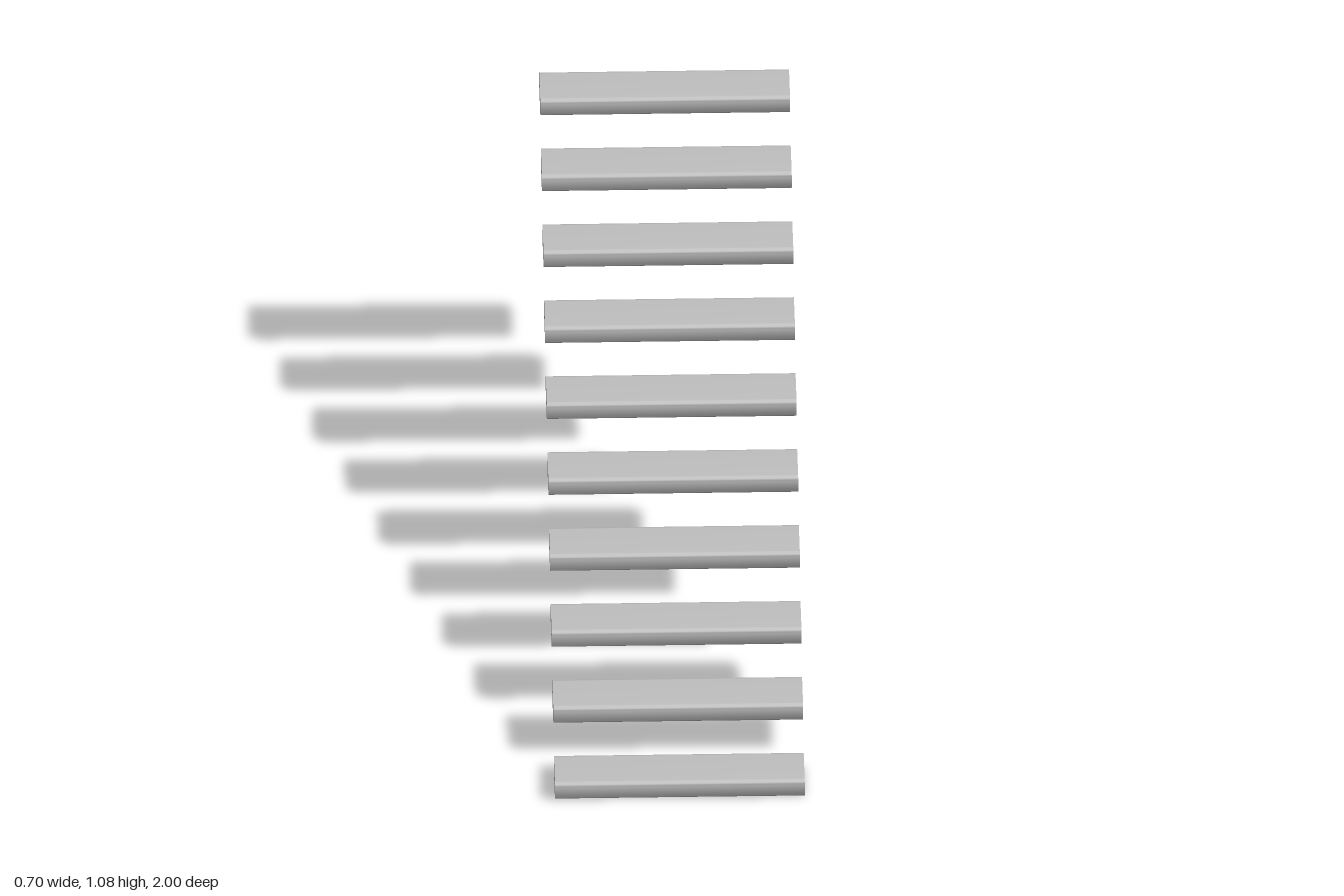
import * as THREE from 'three';
import { toCreasedNormals } from 'three/addons/utils/BufferGeometryUtils.js';

const COUNT = 10;
const WIDTH = 0.696, DEPTH = 0.147, HEIGHT = 0.055, RADIUS = 0.014;
const RISE = 0.1138, RUN = (2 - DEPTH) / (COUNT - 1);

// Rounded tread cross-section, extruded across the width of the stair
function treadGeometry() {
  const a = DEPTH / 2, b = HEIGHT / 2, r = RADIUS;
  const s = new THREE.Shape();
  s.absarc(a - r, b - r, r, 0, Math.PI / 2);
  s.absarc(-a + r, b - r, r, Math.PI / 2, Math.PI);
  s.absarc(-a + r, -b + r, r, Math.PI, Math.PI * 1.5);
  s.absarc(a - r, -b + r, r, Math.PI * 1.5, Math.PI * 2);
  s.closePath();
  const g = new THREE.ExtrudeGeometry(s, { depth: WIDTH, bevelEnabled: false, curveSegments: 4 });
  g.translate(0, 0, -WIDTH / 2);
  g.rotateY(Math.PI / 2);
  return toCreasedNormals(g, 0.6);
}

export function createModel() {
  const group = new THREE.Group();
  group.name = 'floatingStair';
  const grey = new THREE.MeshStandardMaterial({ color: 0xc0c0c0 });
  grey.name = 'light grey';
  const geometry = treadGeometry();

  // Floating treads climbing from front to back
  for (let i = 0; i < COUNT; i++) {
    const tread = new THREE.Mesh(geometry, grey);
    tread.name = `tread${i + 1}`;
    tread.position.set(0, HEIGHT / 2 + i * RISE, 1 - DEPTH / 2 - i * RUN);
    group.add(tread);
  }
  return group;
}
